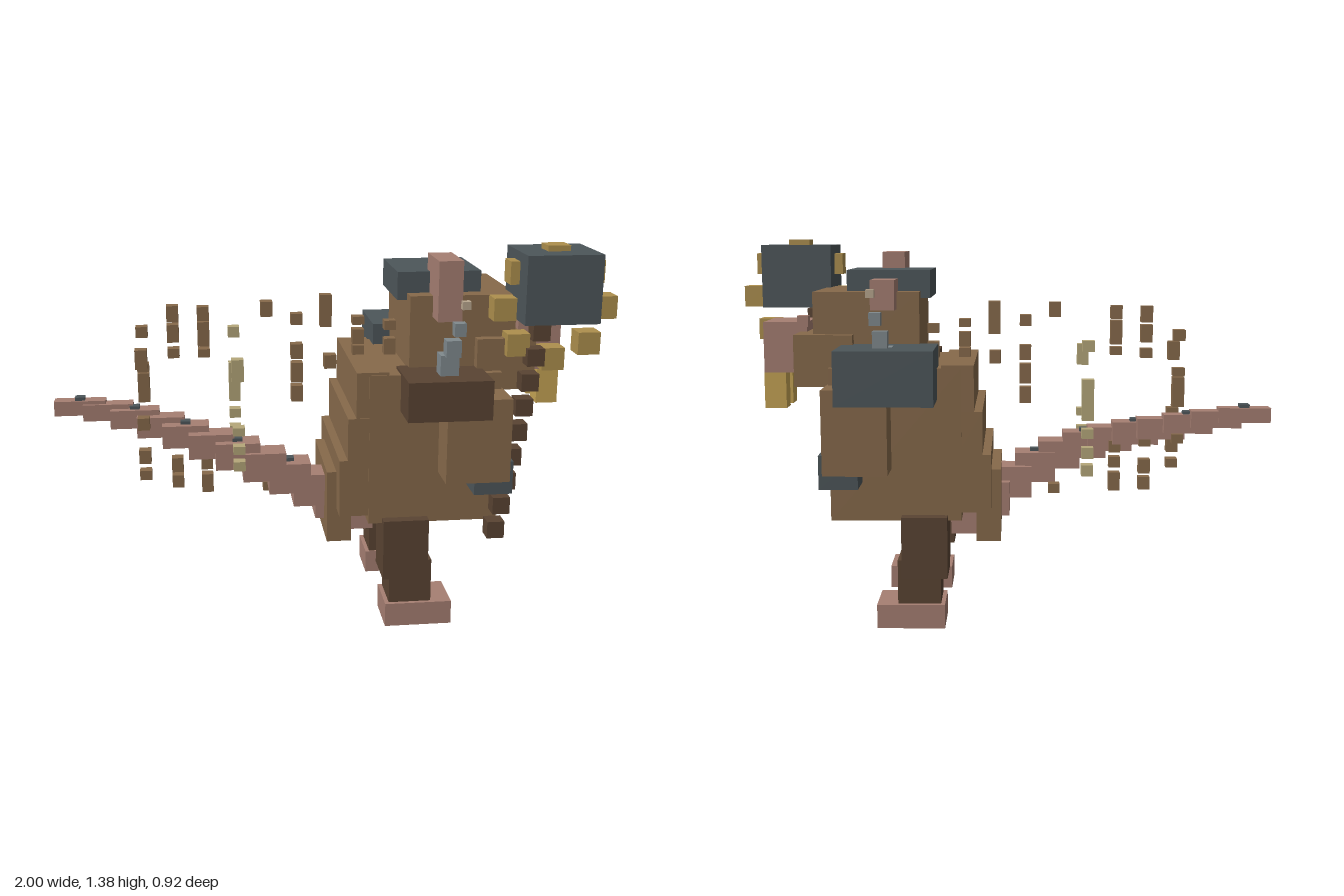
import * as THREE from 'three';

const MID = 0.022; // z of the body's mirror plane

const mat = (name, color) => {
  const m = new THREE.MeshStandardMaterial({ color });
  m.name = name;
  return m;
};

export function createModel() {
  const root = new THREE.Group();
  root.name = 'hornedBeast';

  const fur = mat('fur brown', 0x876a4b);
  const dark = mat('dark brown', 0x5a4433);
  const skin = mat('pink skin', 0xa67f72);
  const iron = mat('iron grey', 0x4d565a);
  const gold = mat('old gold', 0xae904e);
  const tusk = mat('tusk yellow', 0xc6a455);
  const cream = mat('belly cream', 0xb9a78f);
  const steel = mat('light steel', 0x808a8e);
  const khaki = mat('pale khaki', 0xb5a77a);

  // Box given by its low and high corner on each axis
  const box = (name, m, x0, x1, y0, y1, z0, z1, parent = root) => {
    const mesh = new THREE.Mesh(new THREE.BoxGeometry(x1 - x0, y1 - y0, z1 - z0), m);
    mesh.position.set((x0 + x1) / 2, (y0 + y1) / 2, (z0 + z1) / 2);
    mesh.name = name;
    parent.add(mesh);
    return mesh;
  };
  // Box of half width w centred on the mirror plane
  const mid = (name, m, x0, x1, y0, y1, w) => box(name, m, x0, x1, y0, y1, MID - w, MID + w);
  // Mirrored pair lying between a and b from the mirror plane
  const pair = (name, m, x0, x1, y0, y1, a, b) => {
    box(name, m, x0, x1, y0, y1, MID + a, MID + b);
    box(name, m, x0, x1, y0, y1, MID - b, MID - a);
  };
  const cube = (name, m, x, y, z, s, h = s, parent = root) =>
    box(name, m, x - s / 2, x + s / 2, y - h / 2, y + h / 2, z - s / 2, z + s / 2, parent);

  // Torso and stepped back slabs
  mid('torso', fur, 0.13, 0.6, 0.39, 0.94, 0.29);
  [[-0.01, 0.08, 0.29, 0.56, 0.2], [0.025, 0.14, 0.42, 0.63, 0.286],
   [0.055, 0.16, 0.6, 0.785, 0.288], [0.085, 0.2, 0.76, 0.95, 0.284]]
    .forEach(([x0, x1, y0, y1, w]) => mid('backSlab', fur, x0, x1, y0, y1, w));
  mid('bellyPlate', iron, 0.56, 0.625, 0.53, 0.845, 0.265);
  mid('bellyPatch', cream, 0.56, 0.61, 0.405, 0.53, 0.225);
  pair('plateStud', gold, 0.59, 0.665, 0.505, 0.585, 0.068, 0.152);

  // Head
  mid('head', fur, 0.28, 0.66, 0.87, 1.205, 0.222);
  mid('jaw', fur, 0.515, 0.725, 0.87, 1.055, 0.262);
  mid('cap', iron, 0.245, 0.545, 1.18, 1.28, 0.157);
  mid('snout', skin, 0.7, 0.86, 0.905, 1.09, 0.118);
  pair('tusk', tusk, 0.785, 0.865, 0.77, 0.905, 0.028, 0.102);
  cube('wart', skin, 0.842, 0.94, 0.143, 0.038);
  cube('wart', skin, 0.71, 1.095, -0.105, 0.04);
  box('leftEar', skin, 0.36, 0.445, 1.13, 1.34, 0.135, 0.335);
  box('rightEar', skin, 0.36, 0.445, 1.145, 1.25, -0.285, -0.135);

  // Arms, wrist guards and shoulders
  pair('arm', fur, 0.38, 0.607, 0.58, 0.88, 0.27, 0.428);
  pair('wristGuard', iron, 0.485, 0.622, 0.53, 0.65, 0.275, 0.412);
  box('leftShoulder', dark, 0.24, 0.535, 0.81, 0.95, 0.215, 0.46);
  box('rightShoulder', iron, 0.215, 0.555, 0.83, 1.02, -0.46, -0.175);

  // Curved shoulder horns
  [[0.397, 0.985, 0.325, 0.065, 0.075], [0.405, 1.048, 0.354, 0.052, 0.06],
   [0.418, 1.122, 0.392, 0.04, 0.045]].forEach(([x, y, z, s, h]) => {
    cube('horn', steel, x, y, MID + z, s, h);
    cube('horn', steel, x, y, MID - z, s, h);
  });
  cube('hornTip', cream, 0.43, 1.21, MID + 0.425, 0.028);
  cube('hornTip', cream, 0.43, 1.21, MID - 0.425, 0.028);

  // Legs
  pair('thigh', dark, 0.18, 0.345, 0.185, 0.41, 0.163, 0.33);
  pair('shin', dark, 0.205, 0.36, 0.085, 0.25, 0.165, 0.318);
  pair('foot', skin, 0.19, 0.435, 0, 0.088, 0.157, 0.333);

  // Flail: block head ringed with gold studs, and its handle
  const flail = new THREE.Group();
  flail.name = 'flail';
  root.add(flail);
  box('flailHead', iron, 0.645, 0.91, 1.127, 1.365, 0.145, 0.412, flail);
  for (let i = 0; i < 8; i++) {
    const a = (i * Math.PI) / 4;
    cube('flailStud', gold, 0.78 + 0.18 * Math.cos(a), 1.165 + 0.18 * Math.sin(a), 0.28, 0.08, 0.08, flail);
  }
  for (let i = 0; i < 9; i++) {
    const t = i / 8;
    cube('flailLink', dark, 0.73 - 0.155 * t, 1.085 - 0.7 * t, 0.305 + 0.075 * t, 0.062, 0.062, flail);
  }

  // Tail: overlapping blocks shrinking along a curve
  const tail = new THREE.Group();
  tail.name = 'tail';
  root.add(tail);
  const path = new THREE.CatmullRomCurve3([
    [0.11, 0.35, 0.025], [-0.08, 0.485, 0.1], [-0.27, 0.585, 0.115],
    [-0.45, 0.645, 0.06], [-0.63, 0.695, -0.025], [-0.81, 0.735, -0.078], [-0.905, 0.75, -0.085],
  ].map((p) => new THREE.Vector3(...p)));
  for (let i = 0; i < 12; i++) {
    const t = i / 11;
    const p = path.getPointAt(t);
    const h = 0.135 - 0.08 * t;
    const l = 0.07 + 0.025 * t;
    box('tailBlock', skin, p.x - l, p.x + l, p.y - h / 2, p.y + h / 2, p.z - h / 2, p.z + h / 2, tail);
    if (i % 2 === 1) cube('tailStud', iron, p.x, p.y + h / 2, p.z, 0.036, 0.024, tail);
  }

  // Floating motes in columns: x, z, then [centre height, box height]
  const motes = new THREE.Group();
  motes.name = 'motes';
  root.add(motes);
  const column = (m, x, z, list) =>
    list.forEach(([y, h]) => cube('mote', m, x, y, z, 0.043, h, motes));
  column(fur, -0.665, -0.05, [[1.04, 0.04], [0.905, 0.03], [0.83, 0.11], [0.655, 0.035]]);
  column(fur, -0.665, 0.09, [[0.97, 0.07], [0.73, 0.045], [0.605, 0.05], [0.535, 0.035]]);
  column(fur, -0.55, 0.0, [[1.115, 0.06], [1.043, 0.065], [0.97, 0.035], [0.635, 0.035], [0.54, 0.055], [0.475, 0.048]]);
  column(fur, -0.44, 0.03, [[1.12, 0.05], [1.045, 0.09], [0.975, 0.03], [0.61, 0.045], [0.55, 0.04], [0.475, 0.07]]);
  column(khaki, -0.325, -0.155, [[1.01, 0.04], [0.815, 0.15], [0.69, 0.035], [0.62, 0.04], [0.555, 0.04]]);
  column(khaki, -0.325, 0.19, [[0.945, 0.08], [0.72, 0.03], [0.65, 0.03], [0.59, 0.035]]);
  column(fur, -0.21, 0.02, [[1.13, 0.055], [0.45, 0.035]]);
  column(fur, -0.1, 0.02, [[1.09, 0.04], [0.97, 0.055], [0.89, 0.075], [0.81, 0.06]]);
  column(fur, 0.015, -0.05, [[1.105, 0.12]]);
  column(fur, 0.015, 0.09, [[0.945, 0.05]]);
  column(fur, 0.127, 0.02, [[1.08, 0.03], [1.02, 0.055], [0.97, 0.035]]);
  column(fur, 0.245, 0.02, [[1.06, 0.035], [0.98, 0.06]]);
  return root;
}
